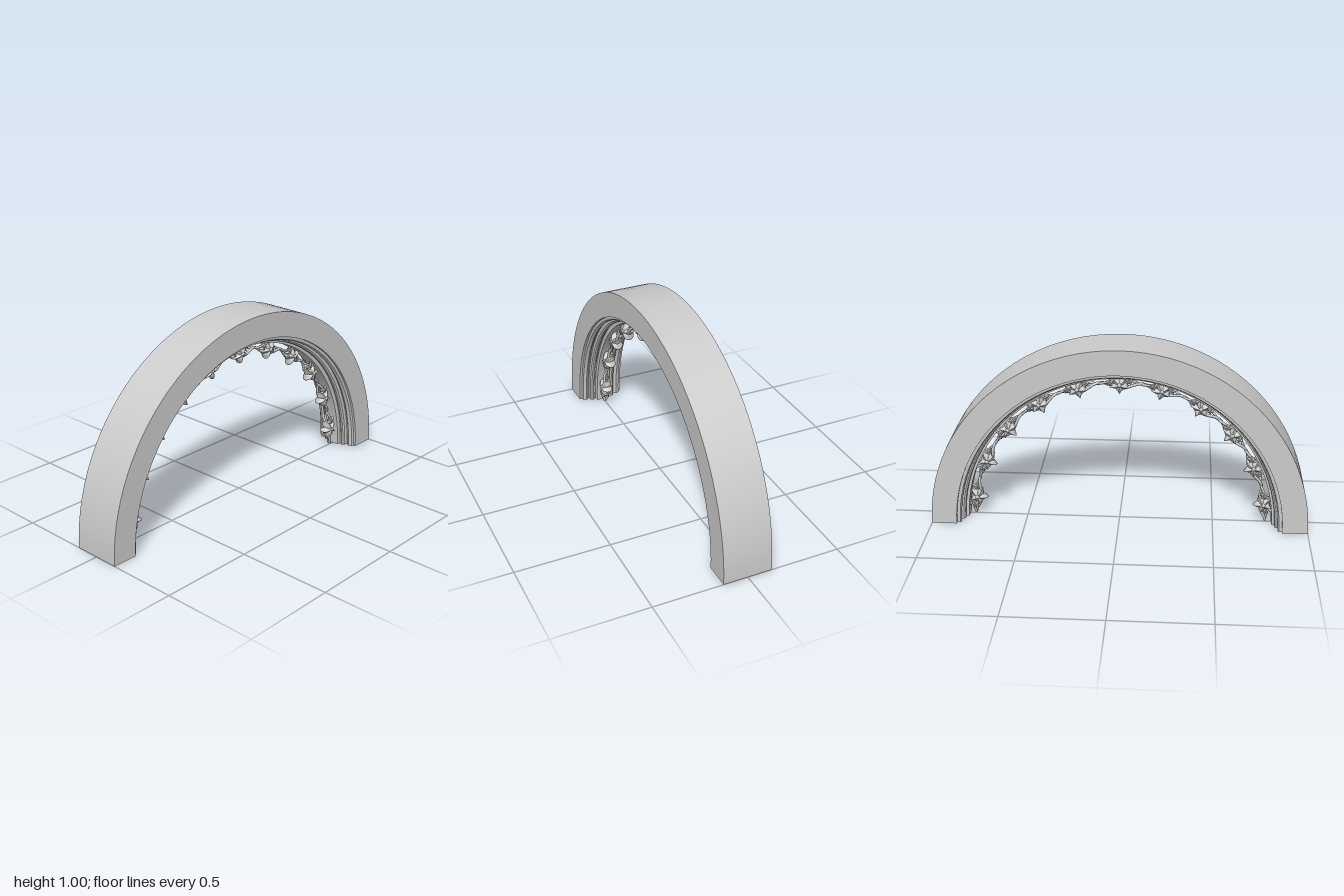
import * as THREE from 'three';
import { toCreasedNormals, mergeVertices } from 'three/addons/utils/BufferGeometryUtils.js';

const material = new THREE.MeshStandardMaterial({ color: 0xcccccc, side: THREE.DoubleSide });
const LEAVES = 11;
const FIRST = THREE.MathUtils.degToRad(8);
const STEP = (Math.PI - 2 * FIRST) / (LEAVES - 1);

function addMesh(parent, geometry, name) {
  const mesh = new THREE.Mesh(geometry, material);
  mesh.name = name;
  parent.add(mesh);
  return mesh;
}

// Half circle sweep of [x, radius] points around the x axis
function sweep(points) {
  const lathe = new THREE.LatheGeometry(points.map(([x, r]) => new THREE.Vector2(r, x)), 48, 0, Math.PI);
  lathe.rotateZ(Math.PI / 2);
  return toCreasedNormals(lathe, 0.6);
}

// Lobed leaf, domed on both faces, its tip pointing to the centre of the arch
function leafGeometry(height, width, depth) {
  let geometry = new THREE.SphereGeometry(1, 60, 12);
  geometry.rotateZ(Math.PI / 2);
  const p = geometry.attributes.position;
  for (let i = 0; i < p.count; i++) {
    const x = p.getX(i), y = p.getY(i), z = p.getZ(i);
    const angle = Math.atan2(z, -y);
    const rim = Math.hypot(y, z);
    const lobe = 1 - 0.38 * Math.abs(Math.sin(2.5 * angle)) + 0.05 * Math.cos(15 * angle);
    const ridge = 1 + 0.3 * rim * Math.cos(5 * angle);
    p.setXYZ(i, x * depth * ridge, y * height * lobe, z * width * lobe);
  }
  geometry.deleteAttribute('uv');
  geometry.deleteAttribute('normal');
  geometry = mergeVertices(geometry, 1e-5);
  geometry.computeVertexNormals();
  return geometry;
}

// Point on the arch at an angle from the front foot
const onArch = (a, r, x = 0) => new THREE.Vector3(x, r * Math.sin(a), r * Math.cos(a));

// Wavy stem following the leaves
function stemGeometry(radius, wave, sway, thickness) {
  const points = [];
  const count = 110;
  for (let i = 0; i <= count; i++) {
    const a = 0.012 + (Math.PI - 0.024) * i / count;
    const phase = 2 * Math.PI * (a - FIRST) / STEP;
    points.push(onArch(a, radius + wave * Math.cos(phase), sway * Math.sin(phase)));
  }
  return new THREE.TubeGeometry(new THREE.CatmullRomCurve3(points), 260, thickness, 6);
}

export function createModel() {
  const model = new THREE.Group();
  model.name = 'carvedArch';

  // Hollow arch shell with open feet: flat faces and a moulded underside
  const moulding = [
    [0.13, 0.866], [0.116, 0.866], [0.114, 0.85], [0.106, 0.845], [0.096, 0.844],
    [0.087, 0.849], [0.081, 0.857], [0.075, 0.857], [0.073, 0.838], [0.066, 0.83],
    [0.057, 0.828], [0.049, 0.832], [0.045, 0.838], [0.04, 0.838], [0.038, 0.815],
  ];
  const mirrored = moulding.map(([x, r]) => [-x, r]).reverse();
  addMesh(model, sweep([[-0.13, 1], [0.13, 1], ...moulding, ...mirrored, [-0.13, 1]]), 'archShell');

  // Pierced vine below the moulding
  const vine = new THREE.Group();
  vine.name = 'vineOrnament';
  model.add(vine);
  addMesh(vine, stemGeometry(0.768, -0.016, 0.012, 0.008), 'innerStem');
  addMesh(vine, stemGeometry(0.793, 0.012, -0.012, 0.007), 'outerStem');

  const leaf = leafGeometry(0.05, 0.053, 0.03);
  const sprig = leafGeometry(0.02, 0.022, 0.014);
  const bud = new THREE.SphereGeometry(0.011, 10, 8);
  for (let i = 0; i < LEAVES; i++) {
    const a = FIRST + i * STEP;
    const cluster = new THREE.Group();
    cluster.name = 'leafCluster';
    cluster.position.copy(onArch(a, 0.772));
    cluster.rotation.x = Math.PI / 2 - a;
    vine.add(cluster);
    addMesh(cluster, leaf, 'leaf');
    for (const side of [-1, 1]) {
      addMesh(cluster, bud, 'bud').position.set(side * 0.026, 0.004, 0);
      const small = addMesh(cluster, sprig, 'sprig');
      small.position.set(side * 0.01, 0.012, side * 0.05);
      small.rotation.x = side * 0.6;
      // Short stalk tying the leaf to the moulding
      const stalk = new THREE.QuadraticBezierCurve3(
        new THREE.Vector3(0, 0.005, side * 0.015),
        new THREE.Vector3(side * 0.012, 0.015, side * 0.04),
        new THREE.Vector3(side * 0.01, 0.046, side * 0.058));
      addMesh(cluster, new THREE.TubeGeometry(stalk, 10, 0.007, 6), 'stalk');
    }
  }
  return model;
}
